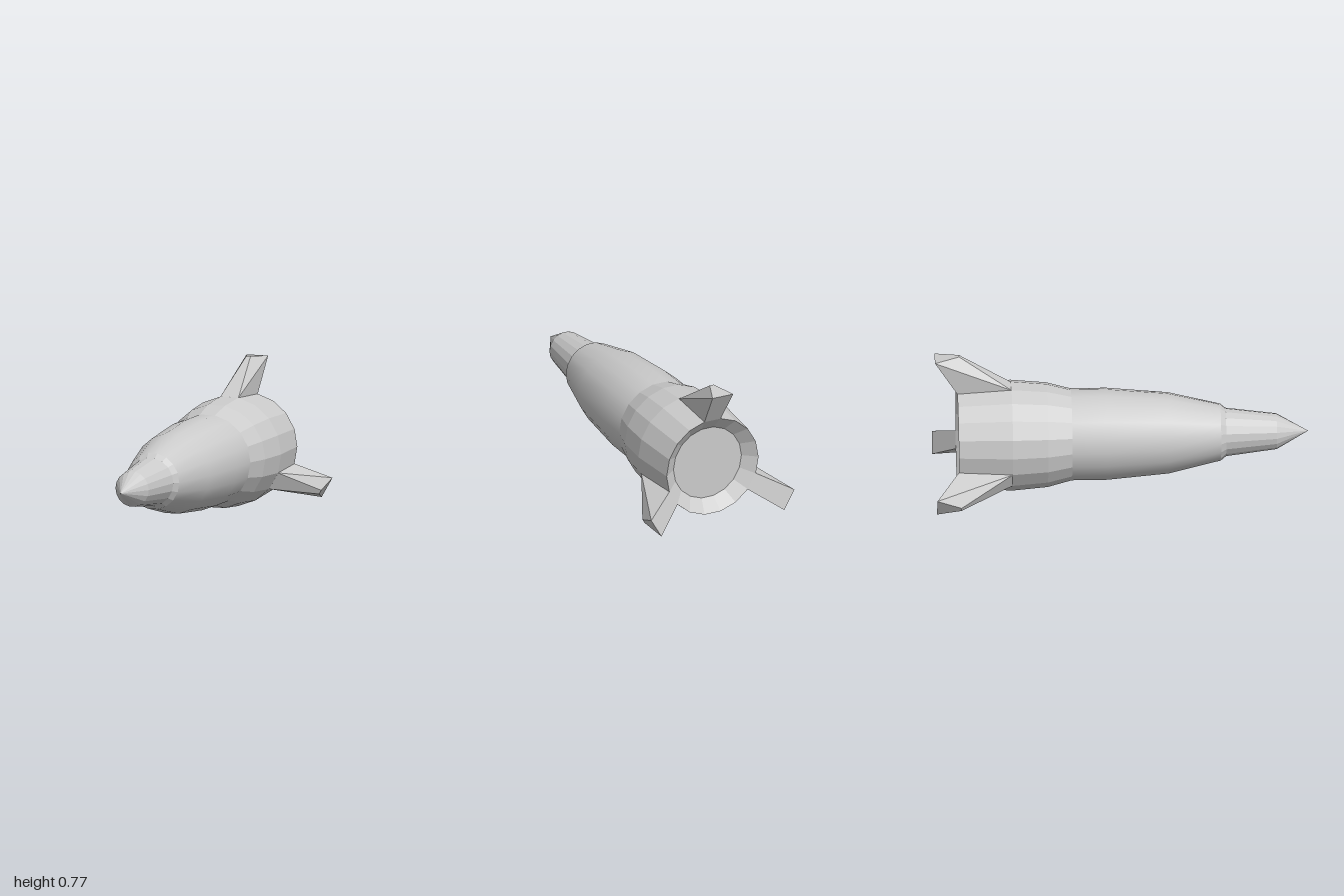
import * as THREE from 'three';

const AXIS_Y = 0.293; // height of the long axis
const SIDES = 18;

// Turned section along z; profile is [radius, z] from rear to front
function turned(name, profile, material) {
  const points = profile.map(([r, z]) => new THREE.Vector2(r, z));
  const geometry = new THREE.LatheGeometry(points, SIDES, Math.PI / SIDES);
  geometry.rotateX(Math.PI / 2);
  const mesh = new THREE.Mesh(geometry, material);
  mesh.name = name;
  return mesh;
}

// Wedge fin pointing up from the axis: mirrored pairs of corners
function finGeometry() {
  const pairs = [
    [0.052, 0.292, -0.59], // root front
    [0.012, 0.476, -0.87], // crest
    [0.062, 0.463, -1.0],  // swept tip
    [0.049, 0.272, -0.88], // root rear
  ];
  const corners = pairs.flatMap(([x, y, z]) => [[x, y, z], [-x, y, z]]);
  const faces = [
    0, 2, 3, 0, 3, 1, // front slope
    2, 4, 5, 2, 5, 3, // top
    4, 6, 7, 4, 7, 5, // back
    0, 4, 2, 0, 6, 4, // left side
    1, 3, 5, 1, 5, 7, // right side
    0, 1, 7, 0, 7, 6, // root
  ];
  const geometry = new THREE.BufferGeometry();
  geometry.setAttribute('position', new THREE.Float32BufferAttribute(corners.flat(), 3));
  geometry.setIndex(faces);
  const flat = geometry.toNonIndexed();
  flat.computeVertexNormals();
  return flat;
}

export function createModel() {
  const model = new THREE.Group();
  model.name = 'rocket';
  const smooth = new THREE.MeshStandardMaterial({ color: 0xcccccc });
  const faceted = new THREE.MeshStandardMaterial({ color: 0xcccccc, flatShading: true });
  const thin = new THREE.MeshStandardMaterial({ color: 0xcccccc, flatShading: true, side: THREE.DoubleSide });

  const hull = new THREE.Group();
  hull.name = 'hull';
  hull.position.y = AXIS_Y;
  model.add(hull);

  // Tail with recessed rear plate
  hull.add(turned('tail', [
    [0, -0.82], [0.205, -0.82], [0.277, -0.88], [0.2975, -0.59], [0.281, -0.4], [0.247, -0.27],
  ], faceted));

  // Smooth tapering body
  hull.add(turned('body', [
    [0.247, -0.27], [0.247, -0.08], [0.218, 0.25], [0.153, 0.53],
  ], smooth));

  // Collar, nose section and pointed tip
  hull.add(turned('collar', [[0.153, 0.53], [0.13, 0.558]], faceted));
  hull.add(turned('noseSection', [[0.13, 0.558], [0.096, 0.83]], faceted));
  hull.add(turned('noseTip', [[0.096, 0.83], [0, 1]], faceted));

  // Three fins spaced evenly around the tail
  const geometry = finGeometry();
  ['topFin', 'rightFin', 'leftFin'].forEach((name, i) => {
    const fin = new THREE.Mesh(geometry, thin);
    fin.name = name;
    fin.rotation.z = (i * Math.PI * 2) / 3;
    hull.add(fin);
  });

  return model;
}
